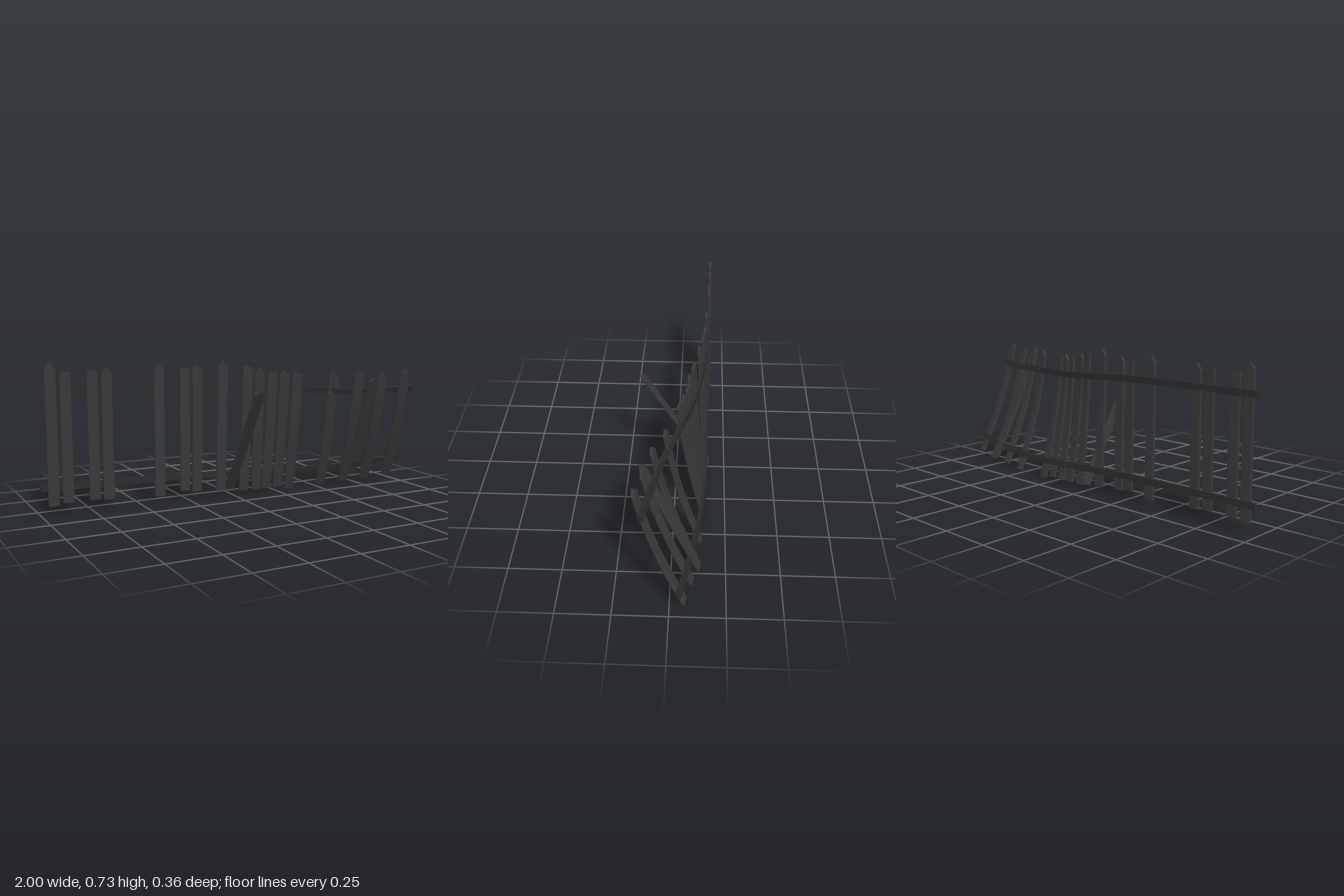
import * as THREE from 'three';

const picketMat = new THREE.MeshStandardMaterial({ color: 0x383838 });
picketMat.name = 'charcoal picket';
const railMat = new THREE.MeshStandardMaterial({ color: 0x2c2c2c });
railMat.name = 'dark rail';

const v = (x, y, z) => new THREE.Vector3(x, y, z);
const topCurve = new THREE.CatmullRomCurve3([
  v(-1, 0.603, -0.172), v(-0.6, 0.602, -0.167), v(-0.3, 0.594, -0.15), v(0, 0.575, -0.12),
  v(0.2, 0.56, -0.083), v(0.4, 0.548, -0.022), v(0.6, 0.54, 0.042), v(0.8, 0.54, 0.083), v(0.96, 0.543, 0.113),
]);
const lowCurve = new THREE.CatmullRomCurve3([
  v(-1, 0.135, -0.172), v(-0.6, 0.133, -0.168), v(-0.3, 0.127, -0.157), v(0, 0.115, -0.15),
  v(0.2, 0.106, -0.15), v(0.4, 0.1, -0.138), v(0.6, 0.102, -0.112), v(0.8, 0.115, -0.08), v(1, 0.135, -0.04),
]);

// Flat facets on every mesh
function faceted(geo, mat, name) {
  const g = geo.toNonIndexed();
  g.computeVertexNormals();
  const m = new THREE.Mesh(g, mat);
  m.name = name;
  return m;
}

// Slope dz/dx of a rail near a given x
function slope(curve, x) {
  const t = curve.getTangent(THREE.MathUtils.clamp((x + 1) / 2, 0, 1));
  return t.z / t.x;
}

// A rail: box bent along its curve, leaning with the pickets
function rail(curve, name) {
  const geo = new THREE.BoxGeometry(1, 0.03, 0.015, 32, 1, 1);
  const p = geo.attributes.position;
  for (let i = 0; i < p.count; i++) {
    const t = p.getX(i) + 0.5, c = curve.getPoint(t), d = curve.getTangent(t);
    const dy = p.getY(i), dz = p.getZ(i), s = d.z / d.x;
    const lean = 0.35 * THREE.MathUtils.smoothstep(c.x, -0.2, 0.9);
    p.setXYZ(i, c.x - dz * s, c.y + dy - dz * lean, c.z + dz + dy * lean);
  }
  return faceted(geo, railMat, name);
}

// A picket: chamfered board, pointed or flat, bowed from foot to tip
function picket([xb, yb, zb, xt, yt, zt, bow, pointed], name, yaw = true) {
  const W = 0.054, D = 0.014;
  const geo = new THREE.BoxGeometry(1, 1, 1, 4, 10, 1);
  const p = geo.attributes.position;
  const len = Math.hypot(yt - yb, zt - zb);
  const sTop = yaw ? slope(topCurve, xt) : 0, sLow = yaw ? slope(lowCurve, xb) : 0;
  for (let i = 0; i < p.count; i++) {
    let u = p.getX(i), t = p.getY(i) + 0.5;
    const edge = Math.abs(u) > 0.4;
    if (!edge) u *= 1.7;
    const w = u * W, d = p.getZ(i) * D * (edge ? 0.55 : 1);
    // roof-shaped tip, or a slightly slanted cut
    if (t > 0.99) t -= (pointed ? Math.abs(u) * 0.056 : (u + 0.5) * 0.008) / len;
    const b = 4 * t * (1 - t);
    const dz = (zt - zb + 4 * bow * (1 - 2 * t)) / (yt - yb);
    const n = Math.hypot(1, dz);
    const a = Math.atan(sLow + (sTop - sLow) * t);
    const depth = d * Math.cos(a) + w * Math.sin(a);
    p.setXYZ(i,
      xb + (xt - xb) * t - bow * 0.3 * b + w * Math.cos(a) - d * Math.sin(a),
      yb + (yt - yb) * t - depth * dz / (n * n),
      zb + (zt - zb) * t + bow * b + depth / n);
  }
  return faceted(geo, picketMat, name);
}

// foot x, y, z, tip x, y, z, bow, pointed
const PICKETS = [
  [-0.94, 0.05, -0.158, -0.94, 0.73, -0.158, 0, 1],
  [-0.87, 0.06, -0.157, -0.87, 0.688, -0.157, 0, 0],
  [-0.74, 0.06, -0.156, -0.74, 0.688, -0.156, 0, 0],
  [-0.67, 0.055, -0.155, -0.67, 0.70, -0.154, 0, 1],
  [-0.405, 0.04, -0.15, -0.405, 0.71, -0.142, 0, 1],
  [-0.27, 0.055, -0.145, -0.27, 0.683, -0.134, 0, 0],
  [-0.205, 0.045, -0.144, -0.205, 0.692, -0.127, 0, 1],
  [-0.07, 0.035, -0.143, -0.07, 0.71, -0.109, 0.003, 1],
  [0.065, 0.02, -0.142, 0.06, 0.683, -0.083, 0.006, 0],
  [0.137, 0.02, -0.141, 0.12, 0.673, -0.067, 0.008, 1],
  [0.2, 0.02, -0.141, 0.195, 0.652, -0.06, 0.009, 0],
  [0.268, 0.02, -0.14, 0.255, 0.656, -0.043, 0.011, 1],
  [0.338, 0.005, -0.14, 0.322, 0.643, -0.022, 0.013, 0],
  [0.54, 0.008, -0.133, 0.512, 0.65, 0.032, 0.022, 1],
  [0.675, 0.018, -0.112, 0.64, 0.654, 0.083, 0.022, 1],
  [0.745, 0.045, -0.128, 0.70, 0.61, 0.128, 0.006, 1],
  [0.81, 0.02, -0.097, 0.765, 0.636, 0.117, 0.022, 1],
  [0.945, 0.043, -0.068, 0.897, 0.652, 0.143, 0.022, 1],
];

export function createModel() {
  const fence = new THREE.Group();
  fence.name = 'bentFence';
  fence.add(rail(topCurve, 'upperRail'), rail(lowCurve, 'lowerRail'));
  PICKETS.forEach((d, i) => fence.add(picket(d, 'picket' + (i + 1))));
  // Loose board fallen forward from the foot of the fence
  fence.add(picket([-0.005, 0.035, -0.166, -0.005, 0.582, 0.172, 0, 1], 'loosePicket', false));
  return fence;
}
